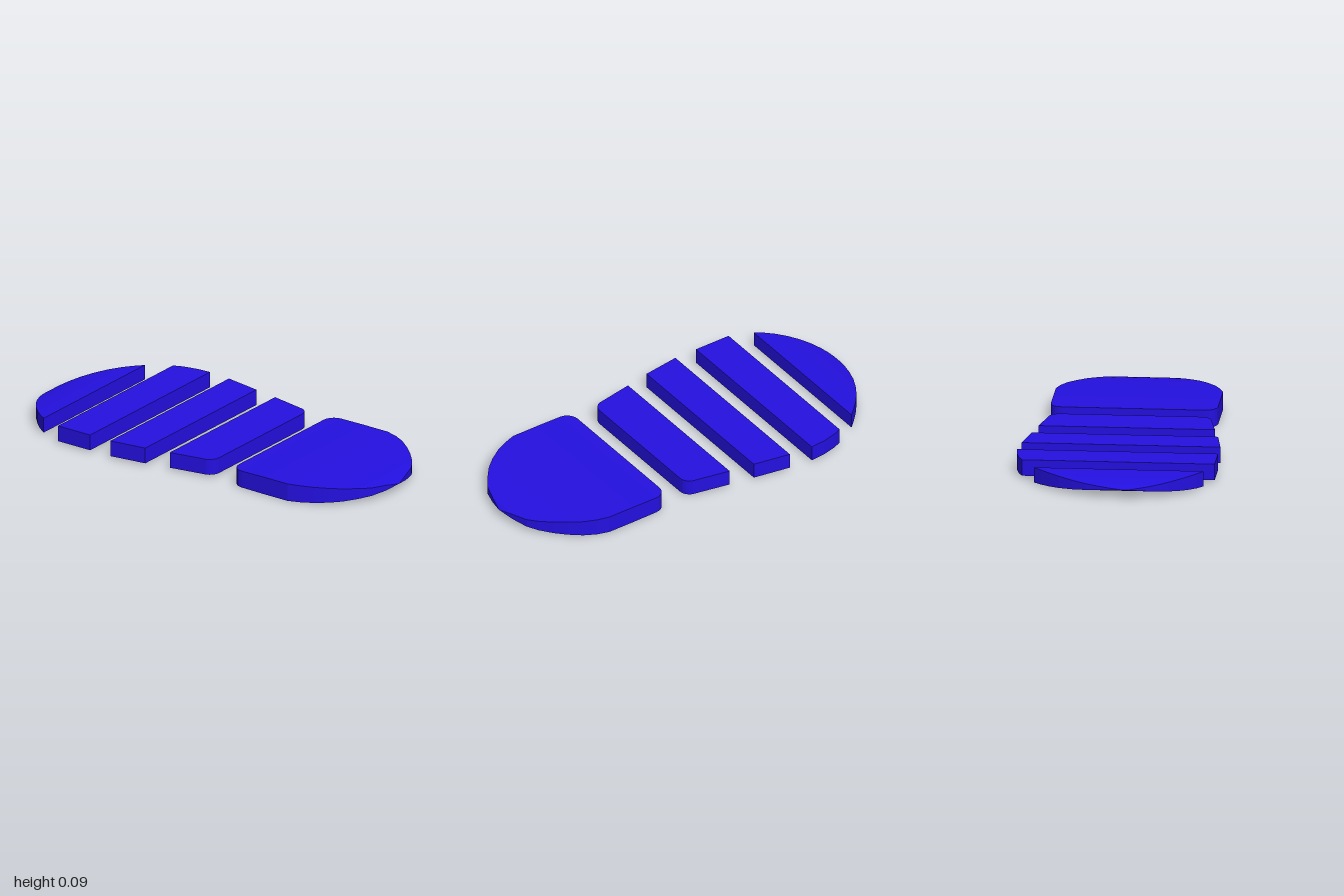
import * as THREE from 'three';

const material = new THREE.MeshStandardMaterial({ color: 0x2410e0, flatShading: true });

// Solid lofted along z; each row is [z, xLeftEdge, xRightEdge, halfThickness]
function loft(name, rows, midY) {
  const positions = [];
  const index = [];
  for (const [z, x0, x1, h] of rows) {
    positions.push(x0, midY + h, z, x1, midY + h, z, x1, midY - h, z, x0, midY - h, z);
  }
  for (let i = 0; i < rows.length - 1; i++) {
    for (let j = 0; j < 4; j++) {
      const a = i * 4 + j;
      const b = i * 4 + (j + 1) % 4;
      index.push(a, a + 4, b + 4, a, b + 4, b);
    }
  }
  const e = (rows.length - 1) * 4;
  index.push(0, 1, 2, 0, 2, 3, e, e + 2, e + 1, e, e + 3, e + 2);
  const geometry = new THREE.BufferGeometry();
  geometry.setAttribute('position', new THREE.Float32BufferAttribute(positions, 3));
  geometry.setIndex(index);
  const flat = geometry.toNonIndexed();
  flat.computeVertexNormals();
  const mesh = new THREE.Mesh(flat, material);
  mesh.name = name;
  return mesh;
}

// Rows of a rounded pair of corners; dir is +1 when the flat edge is at larger z
function corners(zEdge, x0, x1, r, h, dir) {
  const rows = [];
  for (let i = 0; i <= 5; i++) {
    const t = (i / 5) * Math.PI / 2;
    const inset = r * (1 - Math.cos(t));
    rows.push([zEdge - dir * r * (1 - Math.sin(t)), x0 + inset, x1 - inset, h]);
  }
  return dir > 0 ? rows : rows.reverse();
}

export function createModel() {
  const group = new THREE.Group();
  group.name = 'solePrint';

  // Toe cap, thinning to its rounded tip
  const toe = [
    [-1, -0.1, -0.06], [-0.993, -0.135, -0.005], [-0.98, -0.18, 0.05],
    [-0.96, -0.228, 0.112], [-0.93, -0.28, 0.175], [-0.89, -0.332, 0.24],
    [-0.85, -0.374, 0.29], [-0.81, -0.408, 0.332], [-0.77, -0.434, 0.37],
  ].map(([z, a, b]) => [z, a, b, 0.037 * Math.max(0, 1 - ((z + 0.75) / 0.25) ** 2) ** 0.7]);
  group.add(loft('toePad', toe, 0.045));

  // Three ball-of-foot bars
  const h = 0.039;
  group.add(loft('frontBar', [
    [-0.654, -0.477, 0.437, h], [-0.61, -0.477, 0.455, h],
    [-0.54, -0.477, 0.471, h], [-0.466, -0.477, 0.477, h],
  ], 0.047));
  group.add(loft('middleBar', [
    [-0.347, -0.477, 0.466, h], [-0.162, -0.45, 0.434, h],
  ], 0.047));
  group.add(loft('rearBar', [
    [-0.037, -0.424, 0.413, h], ...corners(0.188, -0.392, 0.38, 0.055, h, 1),
  ], 0.047));

  // Heel pad, thinning elliptically towards its point
  const heel = [
    [0.64, -0.403, 0.39], [0.7, -0.383, 0.374], [0.76, -0.356, 0.346],
    [0.82, -0.317, 0.303], [0.87, -0.275, 0.26], [0.92, -0.215, 0.207],
    [0.955, -0.163, 0.155], [0.98, -0.085, 0.075], [1, -0.006, -0.004],
  ].map(([z, a, b]) => [z, a, b, 0.0435 * Math.sqrt(Math.max(0, 1 - ((z - 0.6) / 0.4) ** 2))]);
  group.add(loft('heelPad', [
    ...corners(0.31, -0.403, 0.39, 0.06, 0.042, -1), [0.5, -0.403, 0.39, 0.0435], ...heel,
  ], 0.0435));

  return group;
}
